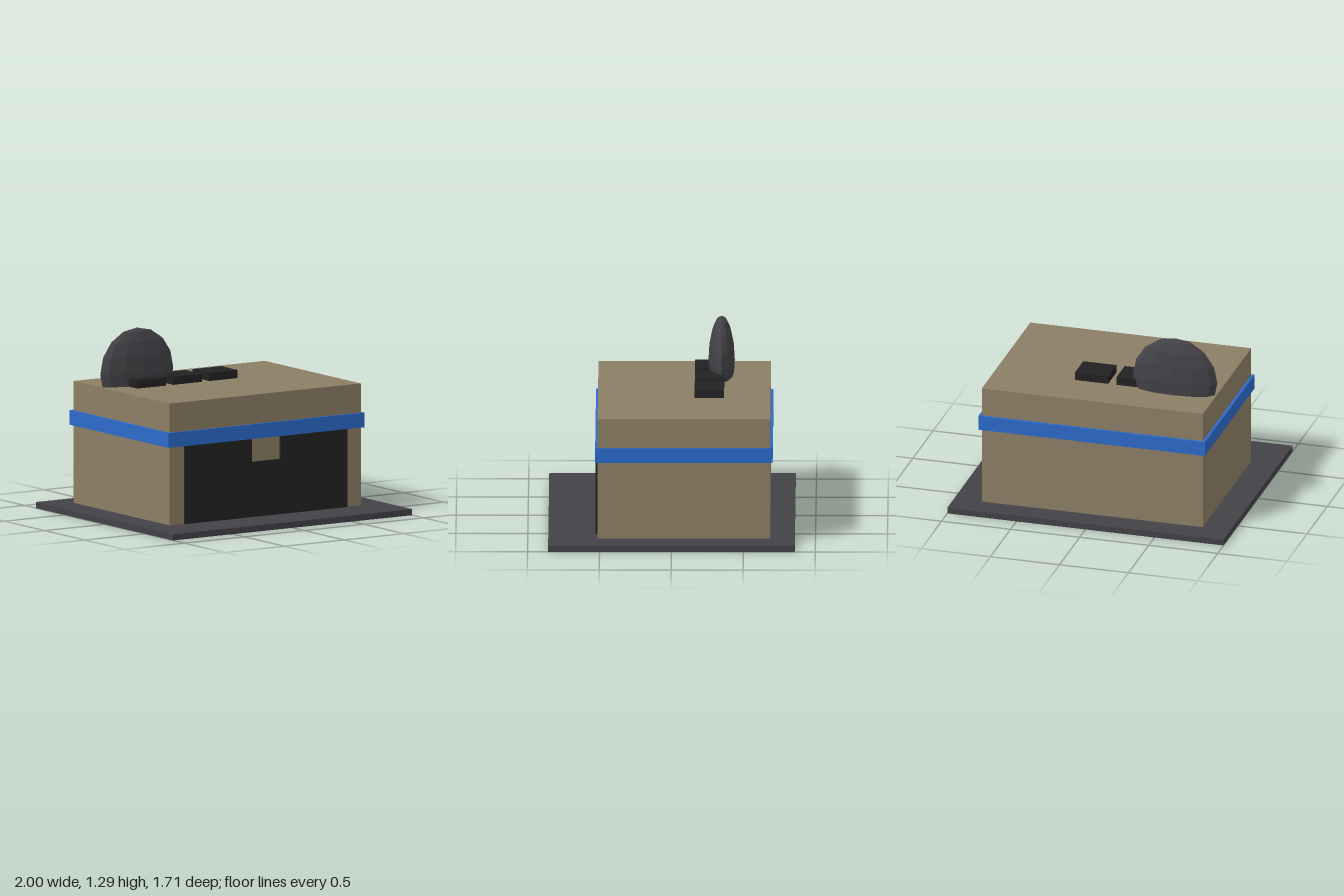
import * as THREE from 'three';

const material = (name, color, flatShading = false) => {
  const m = new THREE.MeshStandardMaterial({ color });
  m.name = name;
  m.flatShading = flatShading;
  return m;
};

export function createModel() {
  const tan = material('tan wall', 0x8c7e64);
  const grey = material('dark grey', 0x424146, true);
  const black = material('near black', 0x222222);
  const blue = material('blue trim', 0x2c6acb);
  const model = new THREE.Group();
  model.name = 'garage';

  const add = (name, geometry, mat, x = 0, y = 0, z = 0) => {
    const mesh = new THREE.Mesh(geometry, mat);
    mesh.name = name;
    mesh.position.set(x, y, z);
    model.add(mesh);
    return mesh;
  };
  // Box given by its extents on each axis
  const box = (name, mat, [x0, x1], [y0, y1], [z0, z1]) =>
    add(name, new THREE.BoxGeometry(x1 - x0, y1 - y0, z1 - z0), mat,
      (x0 + x1) / 2, (y0 + y1) / 2, (z0 + z1) / 2);

  // Ground slab, walls and trim band
  box('groundSlab', grey, [-1, 1], [0, 0.043], [-0.857, 0.857]);
  box('building', tan, [-0.8, 0.8], [0.043, 0.9], [-0.686, 0.514]);
  box('trimBand', blue, [-0.82, 0.82], [0.592, 0.695], [-0.703, 0.531]);

  // Wide doorway panel with a notch at the top centre
  const door = new THREE.Shape([
    [-0.68, 0.043], [0.68, 0.043], [0.68, 0.6], [0.12, 0.6],
    [0.12, 0.43], [-0.12, 0.43], [-0.12, 0.6], [-0.68, 0.6],
  ].map(([x, y]) => new THREE.Vector2(x, y)));
  add('doorPanel', new THREE.ExtrudeGeometry(door, { depth: 0.016, bevelEnabled: false }),
    black, 0, 0, 0.514);

  // Row of roof units
  for (const x of [-0.5, -0.2, 0.1]) {
    box('roofUnit', black, [x - 0.12, x + 0.12], [0.9, 0.957], [-0.363, -0.158]);
  }

  // Flattened faceted dish sunk into the roof
  const dish = add('roofDish', new THREE.SphereGeometry(0.305, 12, 8), grey, -0.5, 0.99, -0.343);
  dish.scale.z = 0.3;

  return model;
}
